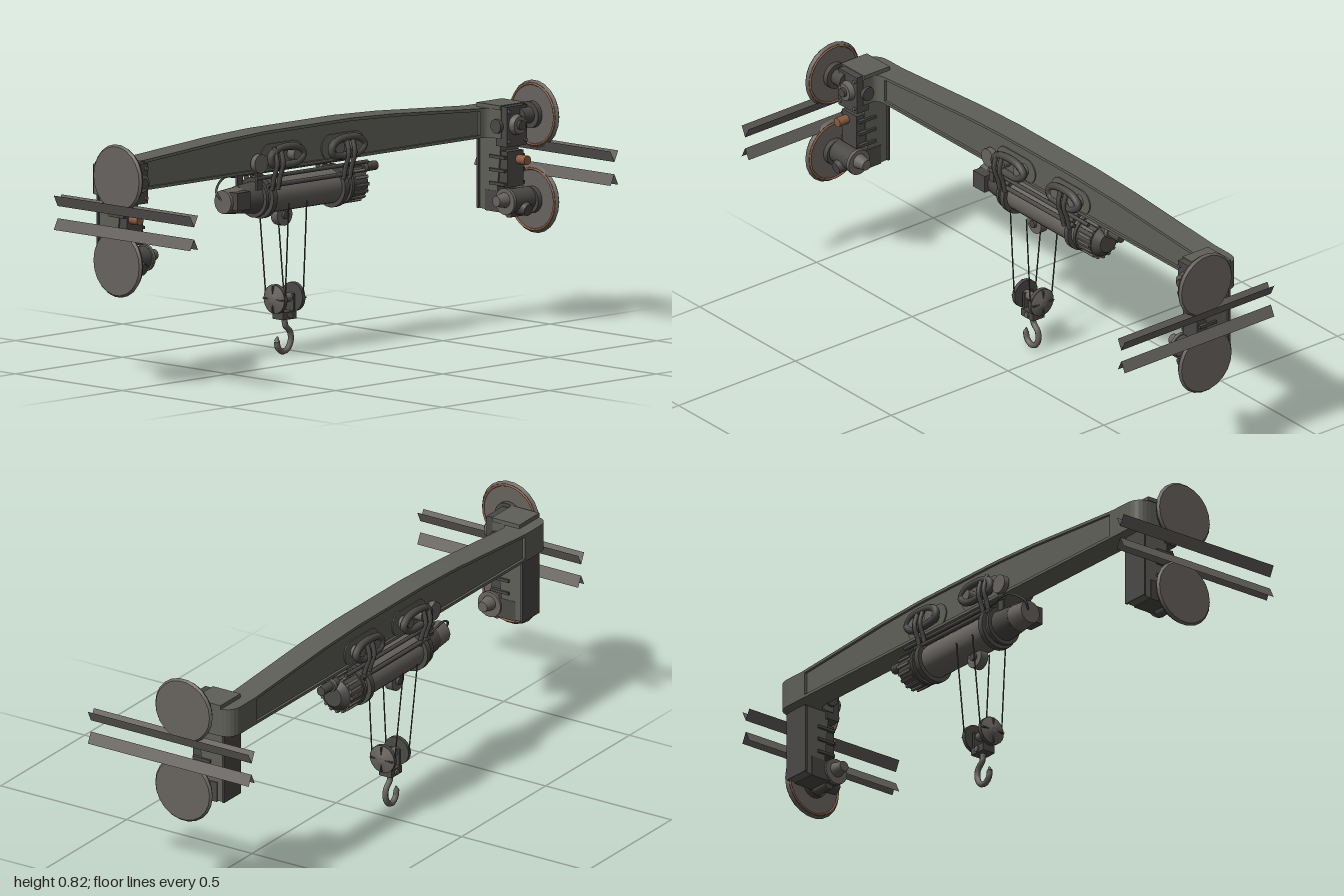
import * as THREE from 'three';

const mat = (name, color) => Object.assign(new THREE.MeshStandardMaterial({ color }), { name });

export function createModel() {
  const steel = mat('warm grey steel', 0x67635f);
  const paint = mat('beam grey', 0x5f5f59);
  const dark = mat('dark iron', 0x4a4946);
  const copper = mat('copper brown', 0x8c5c40);
  const railMat = mat('rail grey', 0x64615d);
  railMat.side = THREE.DoubleSide;

  const model = new THREE.Group();
  model.name = 'bridgeCrane';
  const V = (x, y, z) => new THREE.Vector3(x, y, z);
  const add = (parent, name, geo, m, x = 0, y = 0, z = 0) => {
    const mesh = new THREE.Mesh(geo, m);
    mesh.name = name;
    mesh.position.set(x, y, z);
    parent.add(mesh);
    return mesh;
  };
  const group = (name) => {
    const g = new THREE.Group();
    g.name = name;
    model.add(g);
    return g;
  };
  const box = (p, name, m, w, h, d, x, y, z) => add(p, name, new THREE.BoxGeometry(w, h, d), m, x, y, z);
  // Cylinder between two points
  const rod = (p, name, m, a, b, r, r2 = r, sides = 20) => {
    const mesh = add(p, name, new THREE.CylinderGeometry(r2, r, a.distanceTo(b), sides), m);
    mesh.position.copy(a).add(b).multiplyScalar(0.5);
    mesh.quaternion.setFromUnitVectors(V(0, 1, 0), b.clone().sub(a).normalize());
    return mesh;
  };
  const rodX = (p, name, m, x1, x2, y, z, r, r2 = r, sides = 20) => rod(p, name, m, V(x1, y, z), V(x2, y, z), r, r2, sides);
  const tube = (p, name, m, pts, r, closed = false) =>
    add(p, name, new THREE.TubeGeometry(new THREE.CatmullRomCurve3(pts, closed), 36, r, 8, closed), m);
  const extrude = (pts, depth) => new THREE.ExtrudeGeometry(
    new THREE.Shape(pts.map((q) => new THREE.Vector2(q[0], q[1]))), { depth, bevelEnabled: false });

  // Main girder: cambered web with top and bottom flanges
  const beam = group('girder');
  const crown = [[-0.83, 0.728], [-0.6, 0.744], [-0.4, 0.758], [-0.2, 0.766], [0.2, 0.766], [0.4, 0.758], [0.6, 0.744], [0.83, 0.728]];
  const back = [...crown].reverse();
  add(beam, 'web', extrude([[-0.83, 0.638], [0.83, 0.638], ...back], 0.072), paint, 0, 0, -0.208);
  add(beam, 'topFlange', extrude([...crown, ...back.map(([x, y]) => [x, y - 0.01])], 0.09), paint, 0, 0.002, -0.217);
  box(beam, 'bottomFlange', paint, 1.66, 0.01, 0.09, 0, 0.638, -0.172);

  for (const s of [-1, 1]) {
    const end = group(s > 0 ? 'leftEndCarriage' : 'rightEndCarriage');
    const X = (x) => s * x;

    // Elbow turning the girder towards the front
    const plan = new THREE.Shape();
    plan.moveTo(X(0.8), 0.217);
    plan.lineTo(X(0.89), 0.217);
    plan.quadraticCurveTo(X(0.948), 0.217, X(0.948), 0.16);
    plan.lineTo(X(0.948), 0.065);
    plan.lineTo(X(0.835), 0.065);
    plan.lineTo(X(0.835), 0.1);
    plan.quadraticCurveTo(X(0.835), 0.127, X(0.8), 0.127);
    const elbow = (name, h, y) => {
      const g = new THREE.ExtrudeGeometry(plan, { depth: h, bevelEnabled: false, curveSegments: 6 });
      add(end, name, g.rotateX(-Math.PI / 2), paint, 0, y, 0);
    };
    elbow('elbow', 0.098, 0.633);
    add(end, 'elbowCap', new THREE.BoxGeometry(0.12, 0.014, 0.11), paint, X(0.891), 0.738, -0.12);

    // Upper gearbox and front bearing
    box(end, 'upperHousing', dark, 0.095, 0.135, 0.05, X(0.886), 0.675, -0.065);
    rod(end, 'bearing', steel, V(X(0.882), 0.68, -0.045), V(X(0.882), 0.68, -0.02), 0.036, 0.03);
    rod(end, 'bearingCap', dark, V(X(0.882), 0.68, -0.02), V(X(0.882), 0.68, -0.01), 0.016);
    for (const dx of [-0.038, 0.038]) for (const dy of [-0.05, 0.05])
      rod(end, 'bolt', steel, V(X(0.886 + dx), 0.675 + dy, -0.042), V(X(0.886 + dx), 0.675 + dy, -0.034), 0.007, 0.007, 6);
    rodX(end, 'sideBoss', dark, X(0.825), X(0.845), 0.675, -0.08, 0.024);

    // Leg tapering down to the lower wheel drive
    const leg = extrude([[0.18, 0.635], [0.178, 0.39], [0.1, 0.385], [0.075, 0.635]], 0.085);
    add(end, 'leg', leg.rotateY(Math.PI / 2), paint, X(0.889) - 0.0425, 0, 0);
    box(end, 'legBackPlate', dark, 0.1, 0.24, 0.008, X(0.889), 0.51, -0.178);
    box(end, 'legFrontBlock', dark, 0.075, 0.12, 0.05, X(0.889), 0.53, -0.075);
    for (const y of [0.48, 0.525, 0.57]) box(end, 'legRib', dark, 0.1, 0.01, 0.07, X(0.889), y, -0.09);

    // Lower drive motor
    rodX(end, 'lowerGearbox', dark, X(0.845), X(0.945), 0.425, -0.05, 0.04);
    rodX(end, 'motorFlange', steel, X(0.838), X(0.85), 0.425, -0.05, 0.045);
    rodX(end, 'motor', steel, X(0.798), X(0.84), 0.43, -0.05, 0.018, 0.026);
    rod(end, 'motorCap', dark, V(X(0.9), 0.405, -0.045), V(X(0.9), 0.395, 0), 0.03, 0.02);
    rodX(end, 'lowerPin', dark, X(0.865), X(0.93), 0.385, -0.06, 0.018);
    box(end, 'motorBracket', dark, 0.09, 0.07, 0.08, X(0.89), 0.42, -0.11);

    // Front buffer on its arm
    rod(end, 'bufferArm', dark, V(X(0.905), 0.558, -0.15), V(X(0.905), 0.558, -0.05), 0.009);
    rod(end, 'buffer', copper, V(X(0.905), 0.56, -0.055), V(X(0.905), 0.56, -0.01), 0.016);

    // Wheels above and below the rails
    for (const y of [0.705, 0.42]) {
      rodX(end, 'axle', dark, X(0.9), X(0.966), y, -0.045, 0.028);
      rodX(end, 'wheelHub', dark, X(0.945), X(0.966), y, -0.045, 0.045);
      rodX(end, 'wheel', steel, X(0.964), X(0.974), y, -0.045, 0.107, 0.114, 22);
      rodX(end, 'wheelFace', steel, X(0.974), X(0.982), y, -0.045, 0.114, 0.107, 22);
      const rim = add(end, 'wheelRim', new THREE.TorusGeometry(0.102, 0.004, 6, 30), copper, X(0.963), y, -0.045);
      rim.rotation.y = Math.PI / 2;
    }

    // V-shaped rails, one opening up and one opening down
    for (const [apex, rim] of [[0.583, 0.62], [0.542, 0.505]]) {
      for (const side of [-1, 1]) {
        const g = new THREE.PlaneGeometry(0.64, Math.hypot(0.018, 0.037)).rotateY(Math.PI / 2);
        const arm = add(end, 'railArm', g, railMat, X(0.982) + side * 0.009, (apex + rim) / 2, 0);
        arm.rotation.z = -side * Math.sign(rim - apex) * Math.atan2(0.018, 0.037);
      }
    }
  }

  // Hoist drum with ribbed gearbox and motor
  const hoist = group('hoist');
  const HY = 0.54, HZ = -0.185;
  rodX(hoist, 'drum', steel, -0.2, 0.2, HY, HZ, 0.058, 0.058, 28);
  rodX(hoist, 'gearbox', dark, 0.2, 0.275, HY, HZ, 0.063, 0.06, 24);
  rodX(hoist, 'gearboxEnd', dark, 0.275, 0.298, HY, HZ, 0.055, 0.035, 24);
  rodX(hoist, 'motorBody', dark, -0.28, -0.2, HY, HZ, 0.046, 0.054, 24);
  rodX(hoist, 'motorEnd', steel, -0.345, -0.28, HY, HZ, 0.04, 0.046, 12);
  rodX(hoist, 'stubMotor', dark, 0.27, 0.368, 0.585, HZ, 0.016);
  rodX(hoist, 'stubCollar', steel, 0.3, 0.315, 0.585, HZ, 0.021);
  for (let i = 0; i < 16; i++) {
    const a = (i / 16) * Math.PI * 2;
    const rib = box(hoist, 'gearboxRib', steel, 0.06, 0.01, 0.008, 0.245, HY + 0.062 * Math.sin(a), HZ + 0.062 * Math.cos(a));
    rib.rotation.x = -a;
  }
  for (const x of [-0.2, 0.2]) rodX(hoist, 'drumFlange', dark, x - 0.006, x + 0.006, HY, HZ, 0.067, 0.067, 28);
  for (const x of [-0.17, 0.165]) rodX(hoist, 'drumBand', dark, x - 0.01, x + 0.01, HY, HZ, 0.073, 0.073, 28);
  for (const z of [-0.235, -0.12]) rodX(hoist, 'tieBar', dark, -0.2, 0.2, 0.585, z, 0.008, 0.008, 8);
  box(hoist, 'controlBox', dark, 0.06, 0.06, 0.05, -0.305, 0.545, -0.15);
  tube(hoist, 'powerCable', dark, [V(-0.2, 0.6, -0.24), V(-0.29, 0.61, -0.235), V(-0.35, 0.57, -0.21), V(-0.34, 0.54, -0.19)], 0.004);

  // Trolley: oval pads, bent tubes, rollers and hangers on both girder faces
  const trolley = group('trolley');
  const oval = (w, h) => {
    const r = h / 2, c = w / 2 - r, sh = new THREE.Shape();
    sh.absarc(c, 0, r, -Math.PI / 2, Math.PI / 2, false);
    sh.absarc(-c, 0, r, Math.PI / 2, Math.PI * 1.5, false);
    return new THREE.ExtrudeGeometry(sh, { depth: 0.008, bevelEnabled: false });
  };
  for (const [face, d] of [[-0.136, 1], [-0.208, -1]]) {
    for (const [x, m] of [[-0.12, -1], [0.165, 1]]) {
      add(trolley, 'ovalPad', oval(0.2, 0.085), paint, x, 0.68, face - 0.004);
      const z = face + d * 0.03;
      tube(trolley, 'bentTube', dark, [V(x - 0.075, 0.66, z), V(x - 0.04, 0.652, z), V(x + 0.045, 0.655, z),
        V(x + 0.072, 0.68, z), V(x + 0.045, 0.705, z), V(x - 0.05, 0.705, z), V(x - 0.078, 0.685, z)], 0.013, true);
      for (const dx of [-0.045, 0.045])
        rod(trolley, 'roller', steel, V(x + dx, 0.68, face), V(x + dx, 0.68, face + d * 0.036), 0.022);
      const hx = m < 0 ? -0.17 : 0.165;
      for (const o of [-0.014, 0.014])
        tube(trolley, 'hanger', dark, [V(hx + o, 0.715, face + d * 0.03), V(hx + o, 0.66, face + d * 0.045),
          V(hx + o, 0.61, face + d * 0.03), V(hx + o, 0.57, face + d * 0.02)], 0.008);
    }
    rod(trolley, 'guidePulley', steel, V(-0.24, 0.665, face + d * 0.008), V(-0.24, 0.665, face + d * 0.028), 0.032);
    box(trolley, 'pulleyBracket', dark, 0.025, 0.09, 0.01, -0.235, 0.62, face + d * 0.01);
    rodX(trolley, 'sideBar', dark, -0.25, 0.27, 0.615, face + d * 0.012, 0.007, 0.007, 8);
  }
  // Equaliser pulley under the drum
  rod(trolley, 'equaliserPulley', steel, V(-0.07, 0.468, -0.2), V(-0.07, 0.468, -0.17), 0.036);
  rod(trolley, 'equaliserPin', dark, V(-0.07, 0.468, -0.21), V(-0.07, 0.468, -0.16), 0.013);

  // Hook block with two sheaves, ropes and hook
  const block = group('hookBlock');
  const BX = -0.074, BY = 0.192, BZ = -0.167;
  for (const s of [-1, 1]) {
    const x = BX + s * 0.042;
    rodX(block, 'sheave', dark, x - 0.007, x + 0.007, BY, BZ, 0.049, 0.049, 24);
    rodX(block, 'sheaveCone', steel, x + s * 0.007, x + s * 0.018, BY, BZ, 0.046, 0.01, 24);
    for (let i = 0; i < 2; i++) {
      const rib = box(block, 'coneRib', dark, 0.012, 0.088, 0.004, x + s * 0.01, BY, BZ);
      rib.rotation.x = i * Math.PI / 2;
    }
    box(block, 'sidePlate', dark, 0.008, 0.075, 0.04, BX + s * 0.026, 0.167, BZ);
    rod(block, 'frontRope', dark, V(x, BY, BZ + 0.045), V(x, 0.52, -0.105), 0.0025, 0.0025, 6);
    rod(block, 'backRope', dark, V(x, BY, BZ - 0.045), V(x, 0.52, -0.246), 0.0025, 0.0025, 6);
  }
  rodX(block, 'blockAxle', steel, BX - 0.042, BX + 0.042, BY, BZ, 0.015);
  box(block, 'crosshead', dark, 0.062, 0.026, 0.05, BX, 0.135, BZ);
  rod(block, 'crossheadPin', steel, V(BX, 0.135, BZ - 0.03), V(BX, 0.135, BZ + 0.03), 0.01);
  rod(block, 'hookShank', steel, V(BX, 0.14, BZ), V(BX, 0.1, BZ), 0.011, 0.009, 12);
  tube(block, 'hook', steel, [V(BX, 0.115, BZ), V(BX + 0.004, 0.098, BZ), V(BX + 0.025, 0.076, BZ), V(BX + 0.029, 0.046, BZ),
    V(BX + 0.012, 0.018, BZ), V(BX - 0.012, 0.013, BZ), V(BX - 0.031, 0.028, BZ), V(BX - 0.036, 0.05, BZ)], 0.01);
  rod(block, 'hookTip', steel, V(BX - 0.036, 0.049, BZ), V(BX - 0.033, 0.066, BZ), 0.01, 0.002, 8);

  return model;
}
